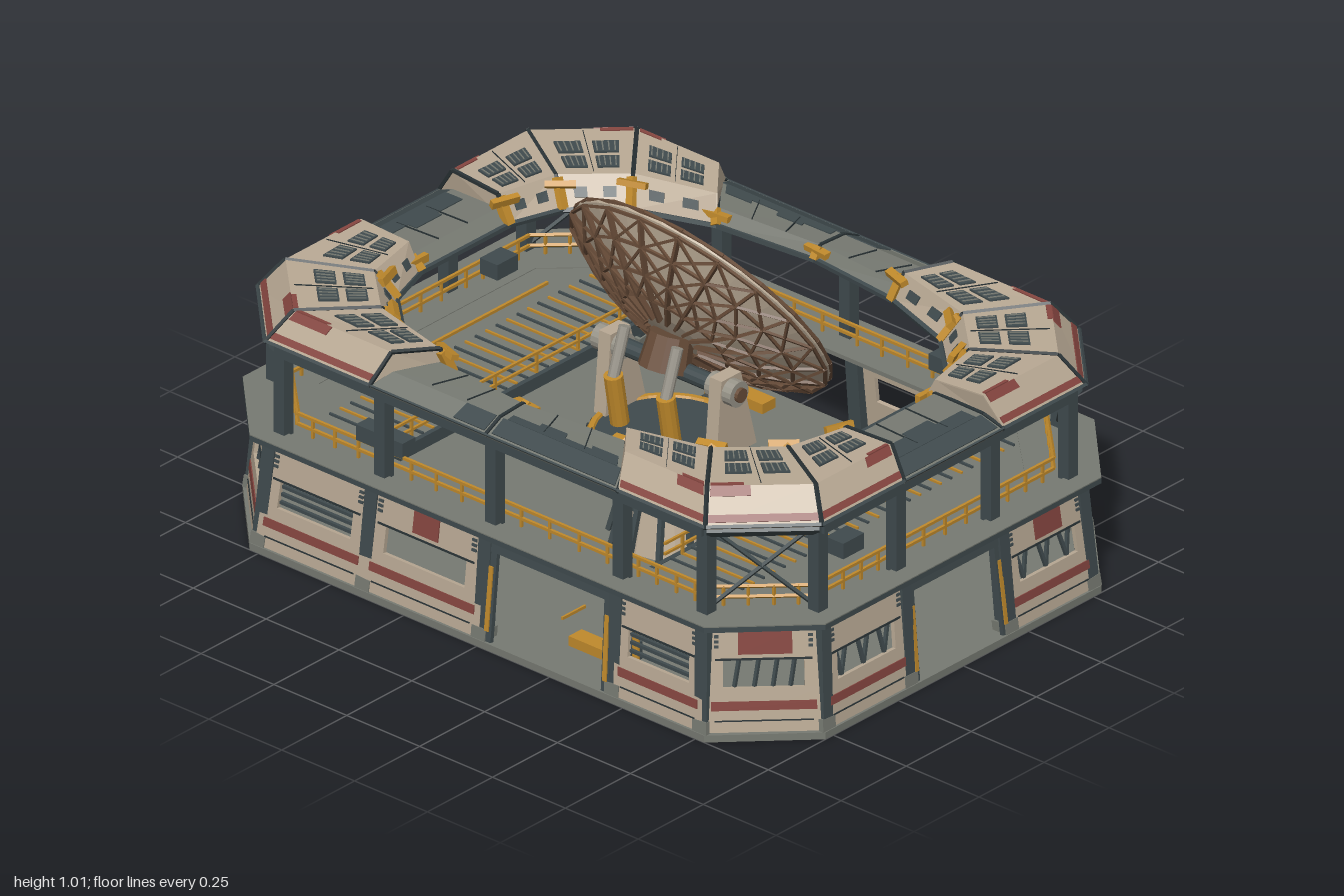
import * as THREE from 'three';
import { mergeGeometries } from 'three/addons/utils/BufferGeometryUtils.js';

const V = (x, y, z) => new THREE.Vector3(x, y, z);
const COLORS = {
  beige: 0xbaaa95, gray: 0x777a72, slate: 0x404b4e, darkSlate: 0x2a3336, red: 0x864640,
  yellow: 0xc08a2c, brown: 0x694d39, paleSteel: 0x99958a,
};

// Half of the ring of frame nodes: [outer x, outer z, inner x, inner z]; the rest is a half turn.
const HALF = [
  [1, -0.2, 0.71, -0.17], [1, 0.2, 0.71, 0.17], [1, 0.53, 0.66, 0.32], [0.78, 0.75, 0.53, 0.44], [0.47, 0.75, 0.31, 0.52],
  [0, 0.75, 0, 0.55], [-0.41, 0.75, -0.29, 0.52], [-0.78, 0.75, -0.53, 0.44], [-1, 0.53, -0.66, 0.32],
];
const NODES = [...HALF, ...HALF.map(n => n.map(v => -v))];
const N = NODES.length;
const LOW_ROOF = [0, 4, 5], DOORS = [0, 4], CORNERS = [2, 7];
const RED_PANELS = { 2: [0.25, 0.72], 5: [0.4, 0.62], 8: [0.3, 0.62] };

export function createModel() {
  const model = new THREE.Group();
  const mats = {}, parts = {};
  for (const k in COLORS) {
    mats[k] = new THREE.MeshStandardMaterial({ color: COLORS[k] });
    mats[k].name = k;
  }

  // Collects geometry; every part and colour becomes one mesh
  const add = (name, color, geo) => {
    const g = geo.index ? geo.toNonIndexed() : geo;
    g.deleteAttribute('uv');
    g.computeVertexNormals();
    (parts[name + '|' + color] ??= []).push(g);
  };
  // Four corners, thickened along their normal from lift to lift + t
  const plate = (name, color, q, t, lift = 0) => {
    const n = q[1].clone().sub(q[0]).cross(q[3].clone().sub(q[0])).normalize();
    const p = [lift, lift + t].flatMap(o => q.map(v => v.clone().addScaledVector(n, o)));
    const faces = [[4, 5, 6, 7], [3, 2, 1, 0], [0, 1, 5, 4], [1, 2, 6, 5], [2, 3, 7, 6], [3, 0, 4, 7]];
    const pos = faces.flatMap(([a, b, c, d]) => [a, b, c, a, c, d]).flatMap(i => p[i].toArray());
    const g = new THREE.BufferGeometry();
    g.setAttribute('position', new THREE.Float32BufferAttribute(pos, 3));
    add(name, color, g);
  };
  const place = (g, p, q) => {
    const dir = q.clone().sub(p).normalize();
    const turn = new THREE.Quaternion().setFromUnitVectors(V(0, 1, 0), dir);
    return g.applyQuaternion(turn).translate((p.x + q.x) / 2, (p.y + q.y) / 2, (p.z + q.z) / 2);
  };
  const bar = (name, color, p, q, w, h = w) => add(name, color, place(new THREE.BoxGeometry(w, p.distanceTo(q), h), p, q));
  const rod = (name, color, p, q, r, r2 = r, s = 12) => add(name, color, place(new THREE.CylinderGeometry(r2, r, p.distanceTo(q), s), p, q));
  const box = (name, color, w, h, d, x, y, z) => add(name, color, new THREE.BoxGeometry(w, h, d).translate(x, y, z));

  // Point on the outer frame, moved inward by d
  const outer = (i, y, d) => V(NODES[i % N][0] * (1 - d), y, NODES[i % N][1] * (1 - d / 0.75));
  const along = (i, u, y, d) => outer(i, y, d).lerp(outer(i + 1, y, d), u);
  const lean = y => 0.015 + 0.035 * y / 0.32;
  const wall = (name, color, i, u0, u1, y0, y1, t = 0.012, lift = 0) => plate(name, color,
    [along(i, u1, y0, lean(y0)), along(i, u0, y0, lean(y0)), along(i, u0, y1, lean(y1)), along(i, u1, y1, lean(y1))], t, lift);
  const ring = (name, color, i, y, d0, d1, t) =>
    plate(name, color, [outer(i + 1, y, d0), outer(i, y, d0), outer(i, y, d1), outer(i + 1, y, d1)], t);

  // Base slab
  const octagon = (pts, h, y) => new THREE.ExtrudeGeometry(new THREE.Shape(pts.map(p => new THREE.Vector2(...p))),
    { depth: h, bevelEnabled: false }).rotateX(-Math.PI / 2).translate(0, y, 0);
  add('baseSlab', 'gray', octagon([[1, -0.53], [1, 0.53], [0.78, 0.75], [-0.78, 0.75], [-1, 0.53], [-1, -0.53], [-0.78, -0.75], [0.78, -0.75]], 0.02, 0));

  for (let i = 0; i < N; i++) {
    const k = i % 9;
    // Frame columns, ledge, eave beam and railings
    bar('lowerColumn', 'slate', outer(i, 0.01, 0.025), outer(i, 0.32, 0.05), 0.042, 0.036);
    bar('columnFoot', 'gray', outer(i, 0.015, 0.026), outer(i, 0.05, 0.03), 0.048);
    bar('upperColumn', 'slate', outer(i, 0.33, 0.07), outer(i, 0.6, 0.07), 0.036);
    ring('ledge', 'slate', i, 0.318, 0, 0.07, 0.015);
    ring('ledgeTop', 'gray', i, 0.333, 0, 0.07, 0.003);
    ring('walkway', 'gray', i, 0.316, 0.06, 0.16, 0.012);
    bar('eaveBeam', 'slate', outer(i, 0.582, 0.06), outer(i + 1, 0.582, 0.06), 0.036);
    for (const y of [0.355, 0.385]) bar('railing', 'yellow', outer(i, y, 0.1), outer(i + 1, y, 0.1), 0.008);
    for (const u of [0.15, 0.38, 0.62, 0.85]) bar('railing', 'yellow', along(i, u, 0.33, 0.1), along(i, u, 0.388, 0.1), 0.007);
    if (CORNERS.includes(k)) {
      bar('crossBrace', 'slate', along(i, 0.05, 0.35, 0.075), along(i, 0.95, 0.57, 0.075), 0.009);
      bar('crossBrace', 'slate', along(i, 0.95, 0.35, 0.075), along(i, 0.05, 0.57, 0.075), 0.009);
    }

    // Lower wall: open doorway or panelled bay with a window strip
    if (DOORS.includes(k)) {
      wall('doorLintel', 'slate', i, 0, 1, 0.27, 0.32, 0.014);
      for (const [a, b] of [[0.03, 0.09], [0.91, 0.97]]) {
        wall('doorJamb', 'slate', i, a, b, 0.02, 0.27, 0.012);
        wall('doorStripe', 'yellow', i, a + 0.015, b - 0.015, 0.05, 0.23, 0.004, 0.013);
      }
    } else {
      wall('lowerPanel', 'beige', i, 0, 1, 0.02, 0.14);
      wall('upperPanel', 'beige', i, 0, 1, 0.215, 0.31);
      for (const [a, b] of [[0, 0.15], [0.85, 1]]) wall('windowJamb', 'beige', i, a, b, 0.14, 0.215);
      wall('wallStripe', 'red', i, 0.05, 0.95, 0.08, 0.104, 0.003, 0.012);
      wall('panelSeam', 'darkSlate', i, 0.08, 0.92, 0.216, 0.221, 0.003, 0.012);
      wall('panelSeam', 'darkSlate', i, 0.08, 0.92, 0.05, 0.053, 0.003, 0.012);
      for (const a of [0.07, 0.89]) for (const y of [0.25, 0.264, 0.278]) wall('panelVent', 'slate', i, a, a + 0.04, y, y + 0.007, 0.004, 0.012);
      if (RED_PANELS[k]) wall('redPanel', 'red', i, ...RED_PANELS[k], 0.232, 0.298, 0.004, 0.012);
      const bit = (u0, y0, u1, y1) => bar('windowSlat', 'slate', along(i, u0, y0, lean(y0)), along(i, u1, y1, lean(y1)), 0.009);
      if (k === 3 || k === 6) [0.155, 0.178, 0.2].forEach(y => bit(0.15, y, 0.85, y));
      else if (k === 2 || k === 7) [0.27, 0.42, 0.58, 0.75].forEach(u => bit(u, 0.14, u - 0.04, 0.215));
      else if (k !== 5) [0.25, 0.5, 0.77].forEach(u => { bit(u, 0.14, u - 0.06, 0.215); bit(u, 0.14, u + 0.06, 0.215); });
    }

    // Roof bay: eave, ridge, inner top and inner edge at both ends
    const low = LOW_ROOF.includes(k);
    const section = j => {
      const [, , x, z] = NODES[j % N];
      const inner = V(x, 0.6, z), ridge = outer(j, low ? 0.63 : 0.685, 0.09);
      const top = ridge.clone().lerp(inner, 0.8).setY(low ? 0.635 : 0.675);
      return [outer(j, 0.6, 0.03), ridge, top, inner];
    };
    const s0 = section(i), s1 = section(i + 1);
    const roof = (name, color, f, u0, u1, v0, v1, t, lift) => {
      const p = (u, v) => s0[f].clone().lerp(s0[(f + 1) % 4], v).lerp(s1[f].clone().lerp(s1[(f + 1) % 4], v), u);
      plate(name, color, [p(u1, v0), p(u0, v0), p(u0, v1), p(u1, v1)], t, lift);
    };
    const skin = low ? 'gray' : 'beige';
    [0, 1, 2, 3].forEach(f => roof(low ? 'lowRoof' : 'raisedRoof', f === 3 ? 'gray' : skin, f, 0, 1, 0, 1, 0.004, -0.004));
    plate('roofEnd', skin, s0, 0.003);
    plate('roofEnd', skin, [...s1].reverse(), 0.003);
    roof('eaveTrim', 'slate', 0, 0, 1, 0, 0.08, 0.005, 0);
    if (low) {
      // Dark weathered sheets and seams on the low roof
      if (k === 5) roof('roofSheet', 'slate', 0, 0.03, 0.3, 0.2, 1, 0.003, 0);
      else roof('roofSheet', 'slate', 0, 0.03, 0.97, 0.2, 1, 0.003, 0);
      if (k === 4) [0.35, 0.22, 0.42, 0.28].forEach((v, n) => roof('roofSheet', 'slate', 1, 0.06 + n * 0.22, 0.28 + n * 0.22, 0, v, 0.003, 0));
      if (k === 0) [0.3, 0.48, 0.38].forEach((v, n) => roof('roofSheet', 'slate', 1, 0.08 + n * 0.28, 0.36 + n * 0.28, 0, v, 0.003, 0));
      for (const u of [0.33, 0.66]) roof('roofSeam', 'darkSlate', 1, u, u + 0.006, 0.1, 1, 0.004, 0);
    } else {
      // Red edging and louvred vents on the raised roof
      roof('roofStripe', 'red', 0, 0.02, 0.98, 0.14, 0.32, 0.003, 0);
      roof('roofPatch', 'red', 0, k % 2 ? 0.04 : 0.6, k % 2 ? 0.35 : 0.97, 0.75, 1, 0.003, 0);
      roof('roofPatch', 'red', 1, k % 2 ? 0.04 : 0.66, k % 2 ? 0.3 : 0.97, 0, 0.06, 0.003, 0);
      roof('roofSeam', 'darkSlate', 1, 0.495, 0.501, 0.05, 0.95, 0.003, 0);
      for (const u of [0.17, 0.56]) for (const v of [0.3, 0.63]) {
        roof('roofVent', 'slate', 1, u, u + 0.27, v, v + 0.24, 0.005, 0);
        for (let n = 0; n < 4; n++) roof('ventLouvre', 'gray', 1, u + 0.025 + n * 0.065, u + 0.04 + n * 0.065, v + 0.02, v + 0.22, 0.004, 0.003);
      }
      for (const u of [0.2, 0.6]) roof('innerVent', 'slate', 2, u, u + 0.18, 0.35, 0.65, 0.004, 0);
    }
    // Ribs between bays, rim of the opening and its brackets
    for (let f = 0; f < 3; f++) bar('roofRib', 'darkSlate', s0[f], s0[f + 1], 0.009);
    bar('openingRim', 'slate', s0[3], s1[3], 0.012);
    bar('rimBracket', 'yellow', s0[3], s0[3].clone().lerp(s0[2], 0.9), 0.022, 0.026);
    const clampAt = t => s0[3].clone().lerp(s0[2], 0.4).add(s1[3].clone().sub(s0[3]).setLength(t)).setY(s0[2].y - 0.012);
    bar('rimClamp', 'yellow', clampAt(-0.04), clampAt(0.04), 0.016, 0.022);
  }

  // Side decks with joists, pipes, rails and equipment
  for (const s of [1, -1]) {
    const pts = [[0.46, -0.69], [0.72, -0.69], [0.92, -0.49], [0.92, 0.49], [0.72, 0.69], [0.46, 0.69]];
    add('sideDeck', 'gray', octagon(pts, 0.012, 0.314).rotateY(s > 0 ? 0 : Math.PI));
    box('deckEdge', 'slate', 0.014, 0.035, 1.36, s * 0.455, 0.31, 0);
    for (let n = -13; n <= 13; n++) {
      const z = n * 0.04;
      box('deckJoist', n % 2 ? 'slate' : 'yellow', 0.25, 0.008, 0.006, s * 0.585, 0.328, z);
      if (n % 4 === 0) bar('deckRail', 'yellow', V(s * 0.465, 0.325, z), V(s * 0.465, 0.388, z), 0.007);
    }
    for (const y of [0.355, 0.385]) box('deckRail', 'yellow', 0.007, 0.007, 1.1, s * 0.465, y, 0);
    box('deckRail', 'yellow', 0.008, 0.008, 0.6, s * 0.695, 0.385, 0);
    // Cabinets on the walkway under the roof
    box('deckCabinet', 'slate', 0.16, 0.045, 0.05, s * -0.42, 0.405, s * 0.63);
    box('deckCabinet', 'slate', 0.06, 0.045, 0.08, s * 0.83, 0.405, s * 0.265);
    box('cabinetStand', 'slate', 0.03, 0.06, 0.03, s * -0.42, 0.355, s * 0.63);
    // Ground machinery by the doors
    box('pumpUnit', 'yellow', 0.16, 0.028, 0.05, s * 0.31, 0.06, s * 0.63);
    rod('pumpPipe', 'yellow', V(s * 0.43, 0.02, s * 0.62), V(s * 0.43, 0.24, s * 0.62), 0.011);
    box('pumpBlock', 'slate', 0.05, 0.05, 0.05, s * 0.36, 0.045, s * 0.57);
    box('pumpPipe', 'yellow', 0.006, 0.008, 0.09, s * -0.1, 0.03, s * -0.49);
  }

  // Pedestal with lattice bars and a geared turntable
  rod('pedestal', 'beige', V(0, 0.02, 0), V(0, 0.3, 0), 0.14, 0.08, 16);
  const polar = (r, a, y) => V(r * Math.cos(a), y, r * Math.sin(a));
  for (let n = 0; n < 12; n++) {
    const a = n * Math.PI / 6;
    bar('pedestalRib', 'slate', polar(0.165, a, 0.02), polar(0.09, a, 0.3), 0.014);
    for (let m = 1; m < 6; m += 1) if (n % 3 === 0) {
      const y = m * 0.045, r = 0.16 - y * 0.27;
      bar('pedestalRung', 'slate', polar(r, a, y), polar(r, a + Math.PI / 6, y), 0.01);
    }
    bar('pedestalStrut', 'darkSlate', polar(0.09, a, 0.25), polar(0.18, a, 0.3), 0.012);
  }
  rod('turntable', 'slate', V(0, 0.295, 0.02), V(0, 0.33, 0.02), 0.19, 0.19, 32);
  add('turntableRing', 'yellow', new THREE.TorusGeometry(0.195, 0.013, 6, 32).rotateX(Math.PI / 2).translate(0, 0.325, 0.02));
  for (let n = 0; n < 48; n++) {
    const a = n * Math.PI / 24;
    bar('gearTooth', 'darkSlate', polar(0.2, a, 0.31).add(V(0, 0, 0.02)), polar(0.217, a, 0.31).add(V(0, 0, 0.02)), 0.011);
  }

  // Yoke arms, tilt axle and lifting rams
  for (const s of [1, -1]) {
    const q = [[-0.09, 0.33], [0.065, 0.33], [0.045, 0.56], [-0.03, 0.56]].map(([z, y]) => V(s * 0.19 - 0.02, y, z));
    plate('yokeArm', 'beige', q, 0.04, -0.04);
    rod('axleHub', 'paleSteel', V(s * 0.15, 0.52, 0.01), V(s * 0.24, 0.52, 0.01), 0.036, 0.036, 16);
    rod('axleCap', 'brown', V(s * 0.23, 0.52, 0.01), V(s * 0.25, 0.52, 0.01), 0.02);
    rod('ramCylinder', 'yellow', V(s * 0.09, 0.36, 0.1), V(s * 0.09, 0.505, 0.125), 0.026);
    rod('ramRod', 'paleSteel', V(s * 0.09, 0.5, 0.124), V(s * 0.09, 0.63, 0.08), 0.016);
  }
  rod('axle', 'slate', V(-0.2, 0.52, 0.01), V(0.2, 0.52, 0.01), 0.024);
  rod('dishMount', 'brown', V(0, 0.52, 0.03), V(0, 0.61, 0), 0.07, 0.06);

  // Dish, built facing up and then tilted
  const R = 0.392, TILT = -0.963, CENTER = V(0.008, 0.685, -0.108);
  const tilt = p => p.applyAxisAngle(V(1, 0, 0), TILT).add(CENTER);
  const bowl = (r, a, lift) => tilt(polar(r, a, 0.13 * (r / R) ** 2 - 0.13 + lift));
  const radii = [0.001, 0.08, 0.16, 0.24, 0.32, R];
  const curve = lift => radii.map(r => new THREE.Vector2(r, 0.13 * (r / R) ** 2 - 0.13 + lift));
  add('dishSkin', 'beige', new THREE.LatheGeometry([...curve(-0.008), ...curve(0).reverse()], 40)
    .rotateX(TILT).translate(...CENTER.toArray()));
  const S = 20, step = Math.PI * 2 / S;
  for (let n = 0; n < S; n++) {
    const a = n * step;
    for (let m = 1; m < 5; m++) {
      const r = radii[m], r2 = radii[m + 1];
      bar('dishFrontRib', 'brown', bowl(r, a, 0.002), bowl(r2, a, 0.002), 0.005);
      bar('dishRing', 'brown', bowl(r2, a, 0.002), bowl(r2, a + step, 0.002), m === 4 ? 0.01 : 0.005);
      bar('dishBackRib', 'brown', bowl(r, a, -0.018), bowl(r2, a, -0.018), 0.008, 0.016);
      bar('dishBackRing', 'brown', bowl(r2, a, -0.018), bowl(r2, a + step, -0.018), 0.008);
      if (m < 2) continue;
      bar('dishLattice', 'brown', bowl(r, a, -0.022), bowl(r2, a + step, -0.022), 0.007);
      bar('dishLattice', 'brown', bowl(r, a + step, -0.022), bowl(r2, a, -0.022), 0.007);
    }
  }
  // Hub, feed horn and its struts
  rod('dishHub', 'darkSlate', tilt(V(0, -0.13, 0)), tilt(V(0, -0.105, 0)), 0.045, 0.038, 16);
  rod('feedHorn', 'brown', tilt(V(0, 0.02, 0)), tilt(V(0, 0.07, 0)), 0.018, 0.026);
  rod('feedCap', 'yellow', tilt(V(0, 0.07, 0)), tilt(V(0, 0.095, 0)), 0.028, 0.022);
  for (const a of [0.35, Math.PI - 0.35, -Math.PI / 2]) bar('feedStrut', 'darkSlate', bowl(0.3, a, 0), tilt(V(0, 0.05, 0)), 0.011);

  for (const key in parts) {
    const [name, color] = key.split('|');
    const mesh = new THREE.Mesh(mergeGeometries(parts[key]), mats[color]);
    mesh.name = name;
    model.add(mesh);
  }
  return model;
}
